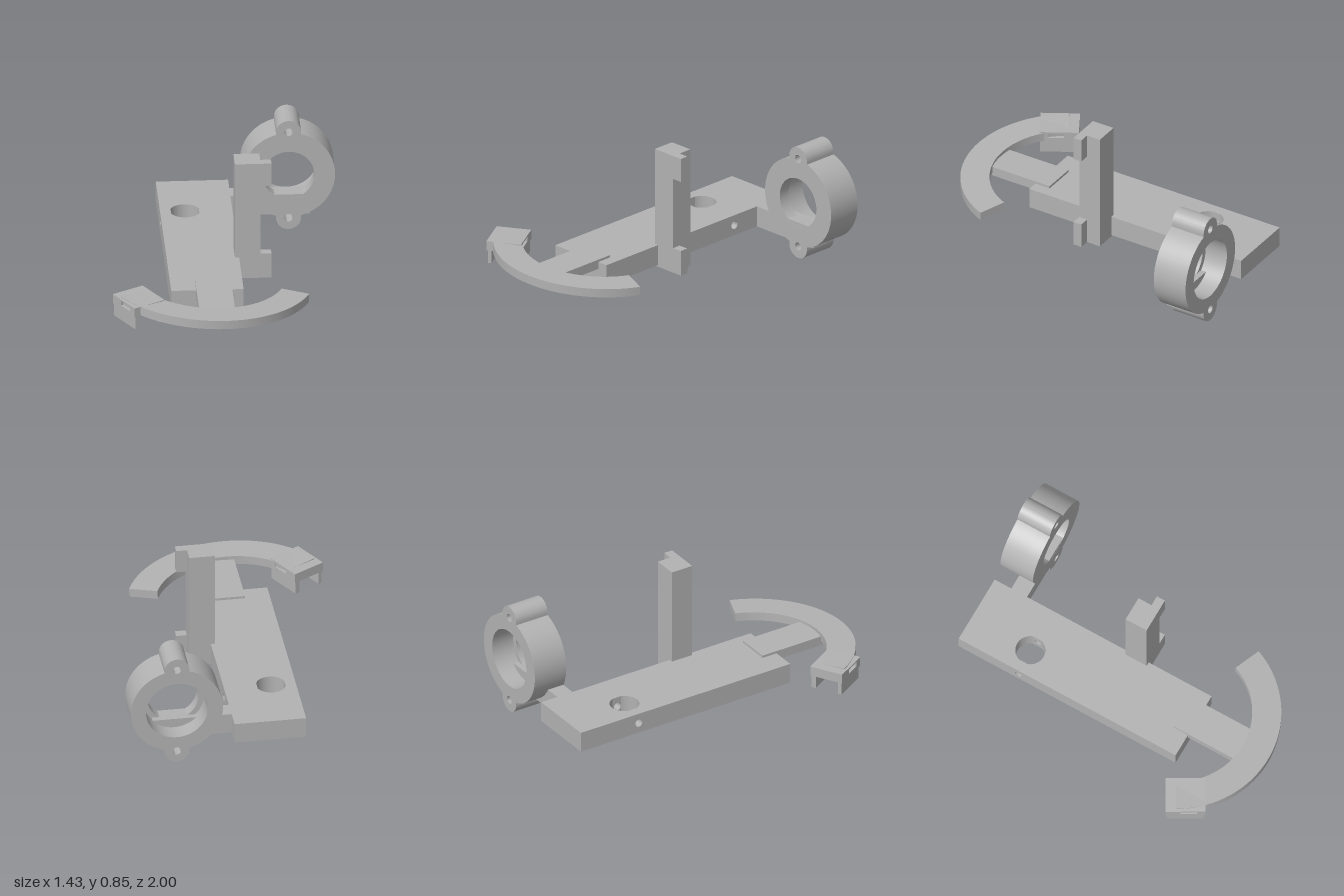
import * as THREE from 'three';
import { toCreasedNormals } from 'three/addons/utils/BufferGeometryUtils.js';

export function createModel() {
  const model = new THREE.Group();
  const grey = new THREE.MeshStandardMaterial({ color: 0xb2b2b2 });
  grey.name = 'plain grey';

  const add = (name, geometry, parent = model) => {
    const mesh = new THREE.Mesh(geometry, grey);
    mesh.name = name;
    parent.add(mesh);
    return mesh;
  };
  // Box given by its limits on each axis
  const box = (name, x0, x1, y0, y1, z0, z1, parent) =>
    add(name, new THREE.BoxGeometry(x1 - x0, y1 - y0, z1 - z0)
      .translate((x0 + x1) / 2, (y0 + y1) / 2, (z0 + z1) / 2), parent);
  const extrude = (shape, depth) => toCreasedNormals(
    new THREE.ExtrudeGeometry(shape, { depth, bevelEnabled: false, curveSegments: 32 }), 0.5);
  const rect = (x0, x1, y0, y1) => new THREE.Shape([
    new THREE.Vector2(x0, y0), new THREE.Vector2(x1, y0),
    new THREE.Vector2(x1, y1), new THREE.Vector2(x0, y1)]);
  const circle = (x, y, r) => new THREE.Path().absarc(x, y, r, 0, Math.PI * 2, true);

  // Base bar: a centre strip with the upright bore, and two side strips with the cross hole
  const base = new THREE.Group();
  base.name = 'base';
  model.add(base);
  const holeX = -0.205, holeZ = -0.59, bore = 0.09, half = 0.085;
  const bite = Math.acos(half / bore), dz = bore * Math.sin(bite);
  const front = new THREE.Shape();
  front.moveTo(holeX - half, -0.5);
  front.lineTo(holeX + half, -0.5);
  front.lineTo(holeX + half, -holeZ - dz);
  front.absarc(holeX, -holeZ, bore, -bite, -Math.PI + bite, true);
  const back = new THREE.Shape();
  back.moveTo(holeX + half, 1);
  back.lineTo(holeX - half, 1);
  back.lineTo(holeX - half, -holeZ + dz);
  back.absarc(holeX, -holeZ, bore, Math.PI - bite, bite, true);
  for (const [name, shape] of [['baseCentreFront', front], ['baseCentreBack', back]]) {
    add(name, extrude(shape, 0.13).rotateX(-Math.PI / 2).translate(0, 0.1, 0), base);
  }
  for (const [name, x0, x1] of [['baseRightStrip', -0.355, holeX - half], ['baseLeftStrip', holeX + half, 0.08]]) {
    const strip = rect(-1, 0.5, 0.1, 0.23);
    strip.holes.push(circle(-0.585, 0.165, 0.025));
    add(name, extrude(strip, x1 - x0).rotateY(-Math.PI / 2).translate(x1, 0, 0), base);
  }

  // Upright post with two side clips
  box('post', 0.055, 0.21, 0.09, 0.85, -0.08, 0.065);
  box('upperClip', 0.21, 0.275, 0.7, 0.85, 0.01, 0.065);
  box('lowerClip', 0.21, 0.275, 0.09, 0.25, 0.01, 0.065);

  // Ring holder with two screw ears, stepped bore
  const ringSection = (innerRadius) => {
    const R = 0.28, ear = 0.075, up = 0.285, a = Math.asin(ear / R), q = Math.PI / 2;
    const s = new THREE.Shape();
    s.absarc(0, 0, R, -q + a, q - a, false);
    s.absarc(0, up, ear, 0, Math.PI, false);
    s.absarc(0, 0, R, q + a, 3 * q - a, false);
    s.absarc(0, -up, ear, Math.PI, Math.PI * 2, false);
    s.holes.push(circle(0, 0, innerRadius), circle(0, up, 0.025), circle(0, -up, 0.025));
    return s;
  };
  add('ringFront', extrude(ringSection(0.155), 0.075).translate(0.43, 0.36, -0.85));
  add('ringBack', extrude(ringSection(0.188), 0.15).translate(0.43, 0.36, -1));
  // Bracket from base into ring, kept clear of the lower screw hole
  const bracket = rect(0.08, 0.56, 0.1, 0.23);
  add('ringBracket', extrude(bracket, 0.109).translate(0, 0, -0.885));

  // Tongue joining base and curved arm
  box('tongue', -0.205, 0.01, 0.185, 0.245, 0.4, 0.84);

  // Curved arm, slightly tilted
  const d = Math.PI / 180, a0 = -22 * d, a1 = -150 * d;
  const arc = new THREE.Shape();
  arc.absarc(0, 0, 0.635, a0, a1, true);
  arc.absarc(0, 0, 0.46, a1, a0, false);
  const arm = add('curvedArm', extrude(arc, 0.055).rotateX(-Math.PI / 2).translate(0, -0.055, 0));
  arm.position.set(-0.12, 0.266, 0.365);
  arm.rotation.z = -0.05;

  // End block with a slot through it and two legs below
  const end = new THREE.Group();
  end.name = 'endBlock';
  end.position.set(-0.5625, 0, 0.687);
  end.rotation.y = Math.PI / 6;
  model.add(end);
  const profile = rect(-0.119, 0.119, 0.226, 0.287);
  profile.holes.push(new THREE.Path(rect(-0.03, 0.07, 0.248, 0.277).getPoints().reverse()));
  add('blockBody', extrude(profile, 0.215).rotateY(-Math.PI / 2).translate(0.1075, 0, 0), end);
  box('outerLeg', -0.1, -0.078, 0.145, 0.228, -0.115, 0.115, end);
  box('innerLeg', 0.072, 0.1, 0.145, 0.228, -0.115, 0.115, end);

  return model;
}
